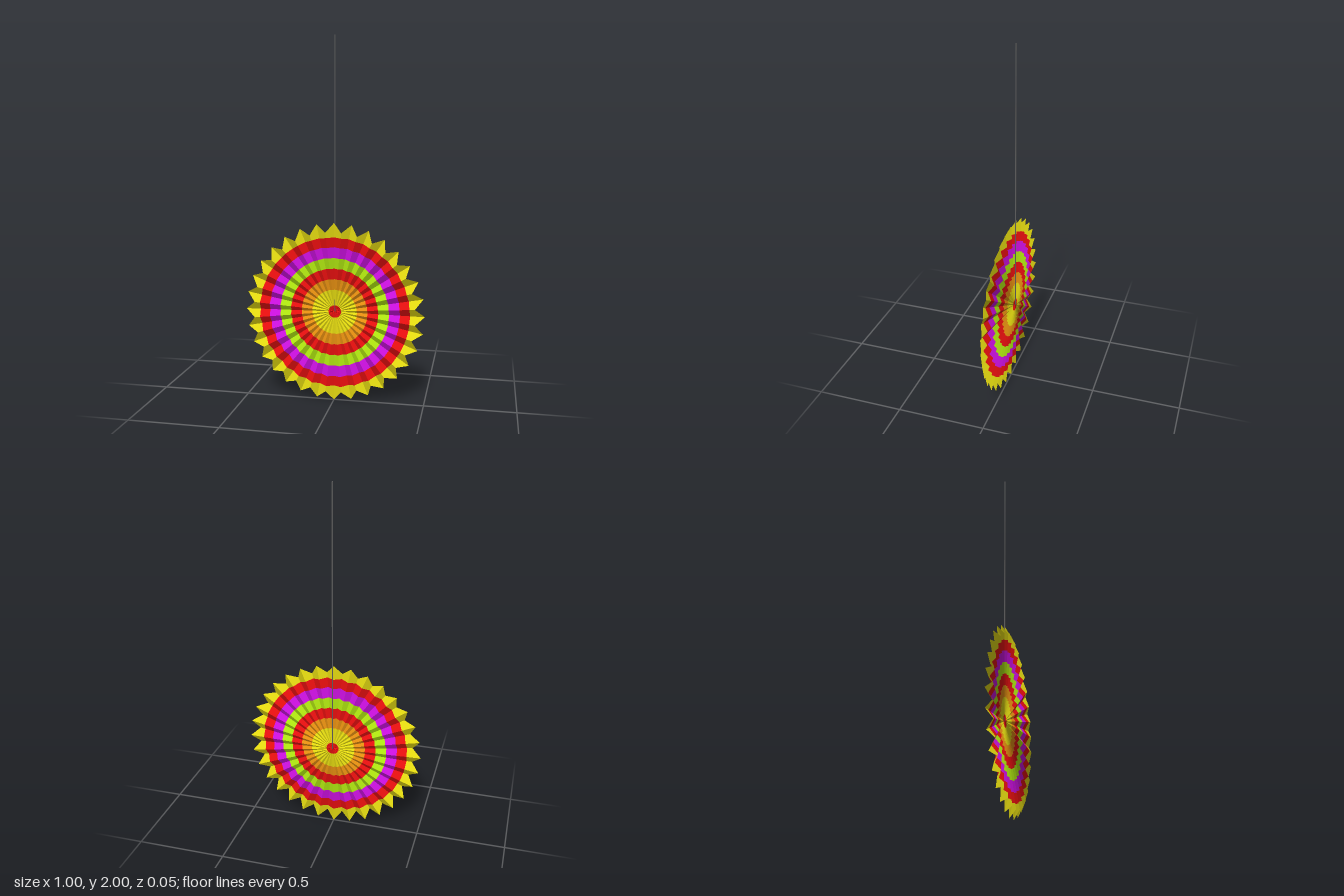
import * as THREE from 'three';

const mat = (name, color, side = THREE.FrontSide) => {
  const m = new THREE.MeshStandardMaterial({ color, side });
  m.name = name;
  return m;
};

const PLEATS = 32;
const CENTRE_Y = 0.502;
const TIP = 0.5, NOTCH = 0.45;   // rim radius at back folds and front folds
const HUB_Z = -0.025;            // where all folds meet

// Point on a fold line: even folds run to the back tips, odd ones to the front notches
function foldPoint(i, r) {
  const a = (i * Math.PI) / PLEATS;
  const odd = i % 2 !== 0;
  const rr = Math.min(r, odd ? NOTCH : TIP);
  const z = HUB_Z + (odd ? (0.05 * rr) / NOTCH : (0.025 * rr) / TIP);
  return [Math.sin(a) * rr, Math.cos(a) * rr, z];
}

// One coloured ring of flat pleat faces between two radii
function pleatRing(inner, outer) {
  const pos = [];
  for (let i = 0; i < PLEATS * 2; i++) {
    const a = foldPoint(i, inner), b = foldPoint(i, outer);
    const c = foldPoint(i + 1, outer), d = foldPoint(i + 1, inner);
    pos.push(...a, ...c, ...b);
    if (inner > 0) pos.push(...a, ...d, ...c);
  }
  const g = new THREE.BufferGeometry();
  g.setAttribute('position', new THREE.Float32BufferAttribute(pos, 3));
  g.computeVertexNormals();
  return g;
}

export function createModel() {
  const group = new THREE.Group();
  group.name = 'hangingPaperFan';

  const D = THREE.DoubleSide;
  const yellow = mat('yellow paper', 0xe6dc10, D);
  const red = mat('red paper', 0xf01010, D);
  const magenta = mat('magenta paper', 0xcc10e0, D);
  const green = mat('lime paper', 0xb0e810, D);
  const orange = mat('orange paper', 0xe89010, D);
  const grey = mat('grey string', 0x606060);

  // Pleated rosette, ring by ring from the hub outward
  const rosette = new THREE.Group();
  rosette.name = 'rosette';
  rosette.position.y = CENTRE_Y;
  const rings = [
    ['hubRing', 0, 0.035, red],
    ['innerYellowRing', 0.035, 0.125, yellow],
    ['orangeRing', 0.125, 0.185, orange],
    ['innerRedRing', 0.185, 0.245, red],
    ['limeRing', 0.245, 0.305, green],
    ['magentaRing', 0.305, 0.365, magenta],
    ['outerRedRing', 0.365, 0.42, red],
    ['rimRing', 0.42, TIP, yellow],
  ];
  for (const [name, inner, outer, material] of rings) {
    const mesh = new THREE.Mesh(pleatRing(inner, outer), material);
    mesh.name = name;
    rosette.add(mesh);
  }
  group.add(rosette);

  // String running from the hub up to the ceiling
  const length = 2 - CENTRE_Y;
  const string = new THREE.Mesh(new THREE.CylinderGeometry(0.0035, 0.0035, length, 6), grey);
  string.name = 'string';
  string.position.set(0, CENTRE_Y + length / 2, HUB_Z);
  group.add(string);

  return group;
}
